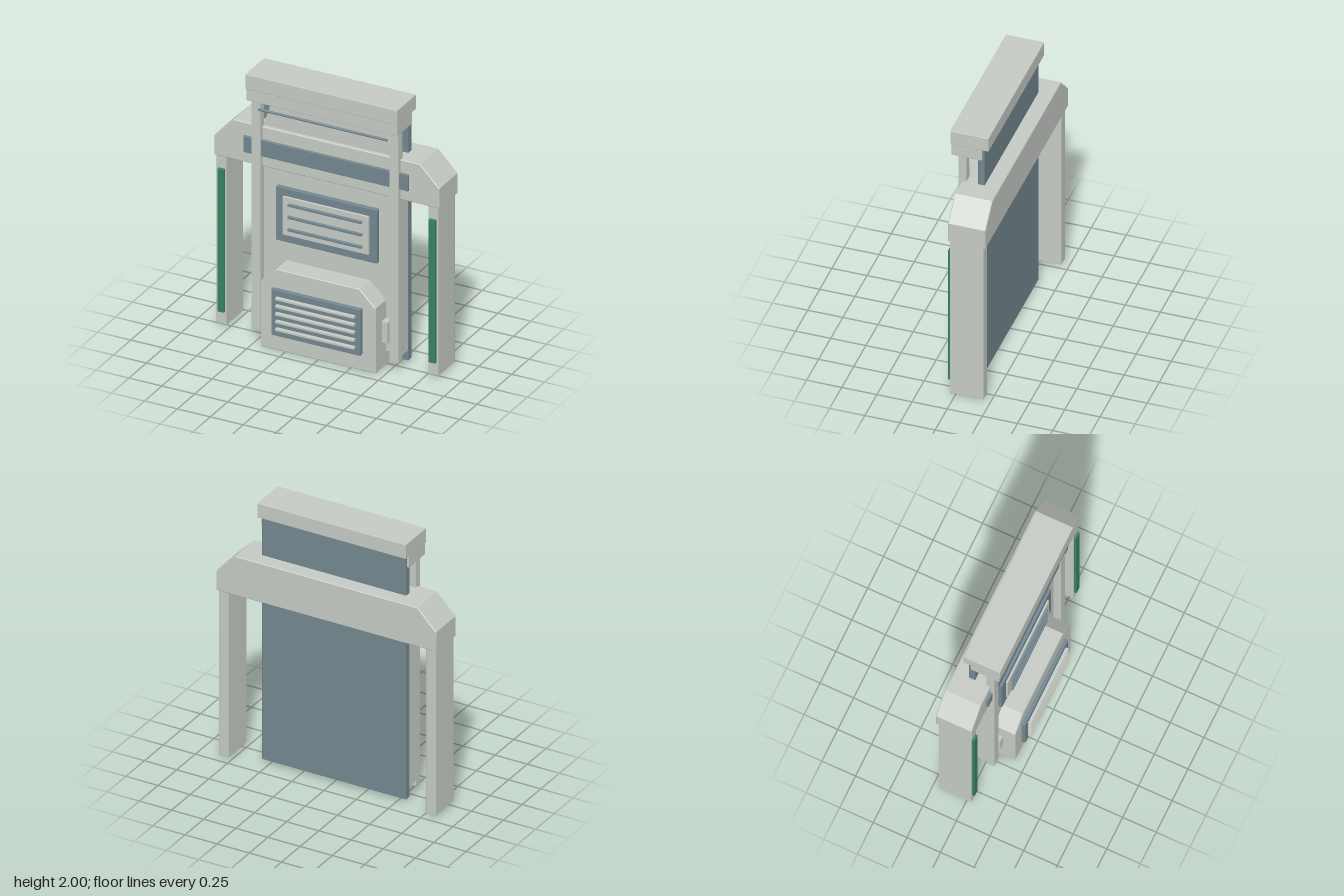
import * as THREE from 'three';
import { RoundedBoxGeometry } from 'three/addons/geometries/RoundedBoxGeometry.js';

const mat = (name, color) => Object.assign(new THREE.MeshStandardMaterial({ color }), { name });

export function createModel() {
  const model = new THREE.Group();
  model.name = 'panelUnit';
  const shell = mat('paleGrey', 0xc5cac4);
  const steel = mat('slateBlue', 0x738790);
  const green = mat('green', 0x37825e);

  const add = (name, geometry, material) => {
    const mesh = new THREE.Mesh(geometry, material);
    mesh.name = name;
    model.add(mesh);
    return mesh;
  };

  // Softly edged box given by its limits on each axis
  const box = (name, material, [x0, x1], [y0, y1], [z0, z1], r = 0.004) => {
    const g = new RoundedBoxGeometry(x1 - x0, y1 - y0, z1 - z0, 1, r);
    g.translate((x0 + x1) / 2, (y0 + y1) / 2, (z0 + z1) / 2);
    return add(name, g, material);
  };

  // Slab with its two upper corners cut off
  const cutSlab = (name, material, w, topW, [y0, yCut, y1], [z0, z1]) => {
    const b = 0.005;
    const s = new THREE.Shape([[-w, y0], [w, y0], [w, yCut], [topW, y1], [-topW, y1], [-w, yCut]]
      .map(([x, y]) => new THREE.Vector2(x, y)));
    const g = new THREE.ExtrudeGeometry(s, {
      depth: z1 - z0 - 2 * b, bevelEnabled: true, bevelSize: b,
      bevelOffset: -b, bevelThickness: b, bevelSegments: 1,
    });
    g.translate(0, 0, z0 + b);
    return add(name, g, material);
  };

  // Main body: back plate, front panel and stepped cap
  box('backPlate', steel, [-0.56, 0.56], [0.02, 1.88], [-0.115, -0.068]);
  cutSlab('frontPanel', shell, 0.56, 0.43, [0.1, 1.4, 1.79], [-0.07, 0.02]);
  box('capLower', shell, [-0.573, 0.573], [1.8, 1.892], [-0.1, 0.117]);
  box('capUpper', shell, [-0.577, 0.577], [1.89, 2], [-0.148, 0.125]);

  // Crossbeam with its band
  cutSlab('crossbeam', shell, 0.855, 0.71, [1.29, 1.44, 1.59], [-0.222, 0.045]);
  box('beamBand', steel, [-0.627, 0.627], [1.372, 1.494], [0.03, 0.062]);

  // Hanging rod under the cap
  const rod = add('rod', new THREE.CylinderGeometry(0.009, 0.009, 0.98, 12), steel);
  rod.rotation.z = Math.PI / 2;
  rod.position.set(0, 1.747, 0.103);

  // Mirrored parts: legs, light strips, posts and side latches
  for (const [side, s] of [['left', 1], ['right', -1]]) {
    const span = (a, b) => (s > 0 ? [a, b] : [-b, -a]);
    box(side + 'Leg', shell, span(0.767, 0.843), [0.018, 1.3], [-0.205, 0.036]);
    box(side + 'LightStrip', green, span(0.778, 0.828), [0.115, 1.197], [0.03, 0.054]);
    box(side + 'Post', shell, span(0.49, 0.56), [0.06, 1.81], [0.015, 0.074]);
    box(side + 'Latch', shell, span(0.43, 0.48), [0.19, 0.355], [0.015, 0.08]);
  }

  // Upper vent
  box('upperVentFrame', steel, [-0.385, 0.385], [0.762, 1.167], [0.015, 0.05]);
  box('upperVentPlate', shell, [-0.327, 0.327], [0.82, 1.11], [0.045, 0.064]);
  for (let i = 0; i < 3; i++) {
    const y = 0.873 + i * 0.093;
    box('upperVentSlat', steel, [-0.28, 0.28], [y - 0.01, y + 0.01], [0.06, 0.08]);
  }

  // Lower housing with its vent
  cutSlab('lowerHousing', shell, 0.437, 0.317, [0, 0.49, 0.61], [-0.082, 0.172]);
  box('lowerVentPlate', steel, [-0.34, 0.337], [0.122, 0.47], [0.165, 0.2]);
  for (let i = 0; i < 5; i++) {
    const y = 0.18 + i * 0.058;
    box('lowerVentSlat', shell, [-0.3, 0.3], [y - 0.01, y + 0.01], [0.195, 0.225]);
  }
  return model;
}
